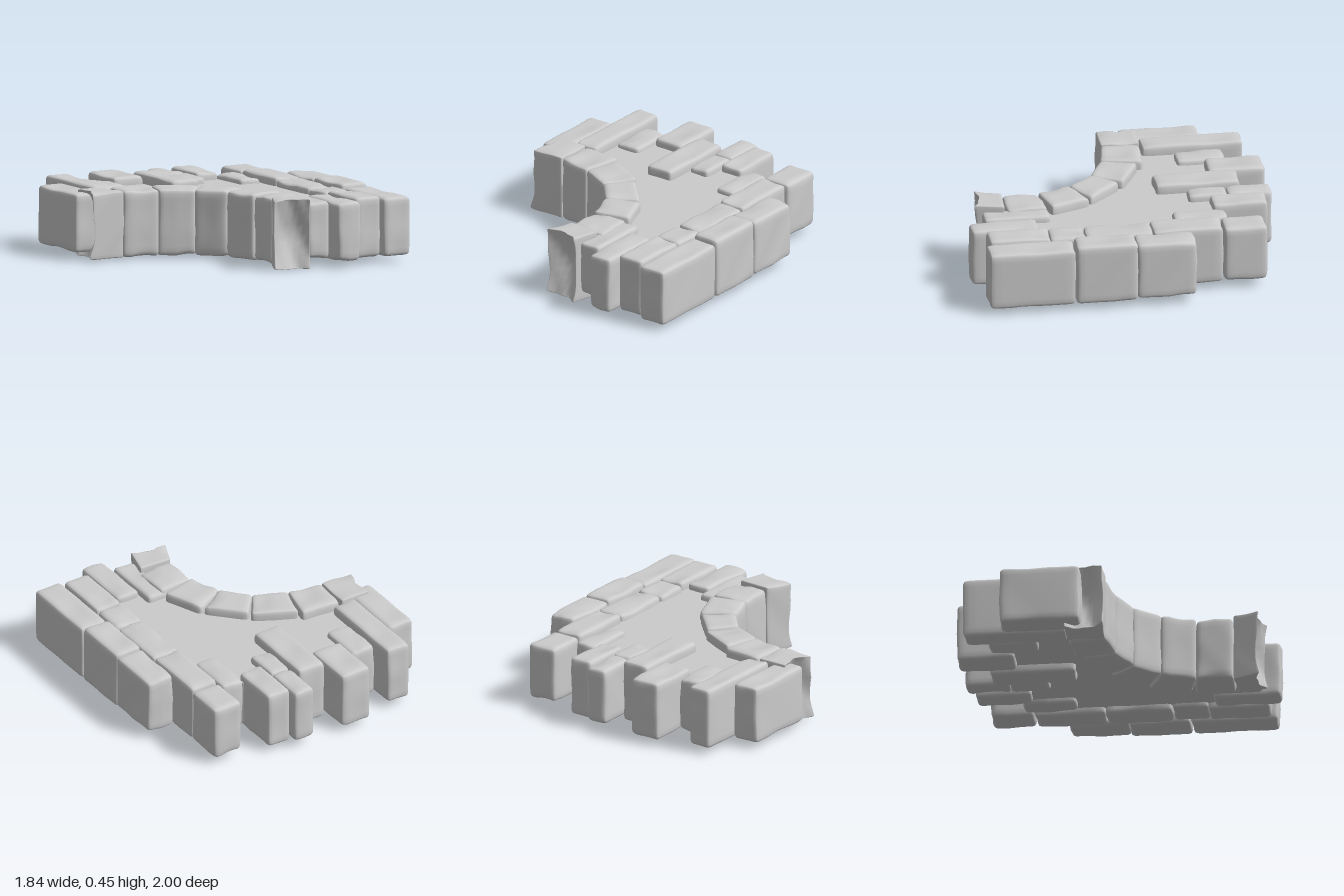
import * as THREE from 'three';
import { mergeVertices } from 'three/addons/utils/BufferGeometryUtils.js';

const material = new THREE.MeshStandardMaterial({ color: 0xcccccc });

// Worn stone: a rounded block stretched over four plan corners [x, z]
// (back left, back right, front right, front left); broken gives a ragged front end.
function stone(name, corners, y0, y1, seed, broken = false) {
  const N = 12;
  const geo = new THREE.BoxGeometry(2, 2, 2, N, N, N);
  geo.deleteAttribute('uv');
  geo.deleteAttribute('normal');
  const [a, b, c, d] = corners.map(([x, z]) => new THREE.Vector2(x, z));
  const half = new THREE.Vector3(
    (a.distanceTo(b) + d.distanceTo(c)) / 4,
    (y1 - y0) / 2,
    (a.distanceTo(d) + b.distanceTo(c)) / 4
  );
  const r = broken ? 0.014 : 0.032;
  const inner = half.clone().subScalar(r);
  const negInner = inner.clone().negate();
  const pos = geo.attributes.position;
  const p = new THREE.Vector3(), core = new THREE.Vector3();
  const ease = (t) => Math.sin(t * Math.PI / 2);
  for (let i = 0; i < pos.count; i++) {
    // gather the grid near the edges and round them
    p.fromBufferAttribute(pos, i);
    p.set(ease(p.x), ease(p.y), ease(p.z)).multiply(half);
    core.copy(p).clamp(negInner, inner);
    p.sub(core).setLength(r).add(core);

    // shallow dents
    const dent = 0.005 * Math.sin(p.x * 17 + seed * 2.1) * Math.sin(p.z * 13 + p.y * 11 + seed * 3.7);
    p.multiplyScalar(1 - Math.abs(dent) / half.length() * 2);
    p.x += 0.6 * dent;
    p.y += dent;

    let u = p.x / half.x, v = p.z / half.z;
    const h = p.y / half.y;
    if (broken) {
      const end = Math.max(0, v) ** 3;
      v -= end * ((0.45 + 0.45 * (1 - h * h)) * Math.max(0, 1 - u * u) + 0.3 * (1 - Math.abs(h)));
      v += end * 0.08 * Math.sin(u * 7 + h * 5 + seed);
    }

    // bilinear spread over the plan corners
    u = (u + 1) / 2;
    v = (v + 1) / 2;
    const back = a.clone().lerp(b, u), front = d.clone().lerp(c, u);
    back.lerp(front, v);
    pos.setXYZ(i, back.x, (y0 + y1) / 2 + p.y, back.y);
  }
  const welded = mergeVertices(geo, 1e-5);
  welded.computeVertexNormals();
  const mesh = new THREE.Mesh(welded, material);
  mesh.name = name;
  return mesh;
}

const rect = (x0, x1, z0, z1) => [[x0, z0], [x1, z0], [x1, z1], [x0, z1]];

// Straight stones: x0, x1, z0, z1, bottom, top
const backStones = [
  [-0.92, -0.73, -0.67, -0.15, 0.04, 0.42],
  [-0.73, -0.56, -0.92, -0.26, 0.04, 0.44],
  [-0.56, -0.38, -0.78, -0.46, 0.05, 0.41],
  [-0.38, -0.16, -1.00, -0.63, 0.04, 0.43],
  [-0.16, 0.04, -0.81, -0.26, 0.03, 0.44],
  [0.04, 0.19, -0.99, -0.70, 0.05, 0.42],
  [0.04, 0.19, -0.71, -0.45, 0.05, 0.42],
  [0.19, 0.36, -0.94, -0.58, 0.04, 0.43],
  [0.36, 0.52, -0.66, -0.31, 0.05, 0.41],
];
const sideStones = [
  [0.52, 0.73, -0.88, -0.60, 0.05, 0.42],
  [0.52, 0.72, -0.60, -0.14, 0.04, 0.43],
  [0.52, 0.72, -0.15, 0.29, 0.04, 0.42],
  [0.52, 0.72, 0.28, 0.52, 0.05, 0.42],
  [0.53, 0.72, 0.51, 0.91, 0.04, 0.43],
  [0.72, 0.92, -0.40, -0.01, 0.05, 0.43],
  [0.72, 0.92, -0.02, 0.38, 0.04, 0.44],
  [0.72, 0.92, 0.38, 0.94, 0.04, 0.42],
  [0.36, 0.53, 0.56, 1.00, 0.04, 0.42],
  [0.20, 0.36, 0.46, 0.89, 0.05, 0.42],
];

// Wedge stones lining the curved inner edge
const archStones = [
  [[-0.63, -0.26], [-0.35, -0.24], [-0.41, 0.035], [-0.65, -0.01]],
  [[-0.35, -0.21], [-0.07, -0.07], [-0.20, 0.13], [-0.42, 0.03]],
  [[-0.07, -0.05], [0.14, 0.17], [-0.06, 0.29], [-0.21, 0.12]],
  [[0.15, 0.17], [0.26, 0.44], [0.01, 0.50], [-0.07, 0.28]],
  [[0.015, 0.49], [0.26, 0.46], [0.27, 0.73], [0.015, 0.735]],
];

export function createModel() {
  const model = new THREE.Group();
  model.name = 'brokenStoneArch';
  let seed = 1;

  const addGroup = (name, meshes) => {
    const group = new THREE.Group();
    group.name = name;
    group.add(...meshes);
    model.add(group);
  };

  const straight = (name) => ([x0, x1, z0, z1, y0, y1]) =>
    stone(name, rect(x0, x1, z0, z1), y0, y1, seed++);
  addGroup('backStones', backStones.map(straight('backStone')));
  addGroup('sideStones', sideStones.map(straight('sideStone')));
  addGroup('archStones', archStones.map((q) =>
    stone('archStone', q, 0.01, 0.44, seed++)));

  // Ragged stones at both ends of the curve
  addGroup('brokenEnds', [
    stone('brokenLeftEnd', [[-0.64, -0.26], [-0.64, -0.01], [-0.90, -0.005], [-0.86, -0.26]], 0.01, 0.44, seed++, true),
    stone('brokenFrontEnd', [[0.02, 0.73], [0.24, 0.74], [0.19, 0.94], [-0.06, 0.91]], 0.0, 0.45, seed++, true),
  ]);

  // Recessed slab filling the space between the stones
  const outline = [
    [-0.72, -0.13], [-0.68, -0.45], [-0.50, -0.60], [-0.27, -0.75], [0.27, -0.75],
    [0.45, -0.54], [0.62, -0.50], [0.62, 0.80], [0.28, 0.80], [0.14, 0.68],
    [0.13, 0.50], [0.05, 0.27], [-0.08, 0.08], [-0.25, -0.05], [-0.48, -0.12],
  ];
  const shape = new THREE.Shape(outline.map(([x, z]) => new THREE.Vector2(x, -z)));
  const slabGeo = new THREE.ExtrudeGeometry(shape, { depth: 0.29, bevelEnabled: false });
  slabGeo.rotateX(-Math.PI / 2);
  slabGeo.translate(0, 0.085, 0);
  const slab = new THREE.Mesh(slabGeo, material);
  slab.name = 'infillSlab';
  model.add(slab);

  return model;
}
